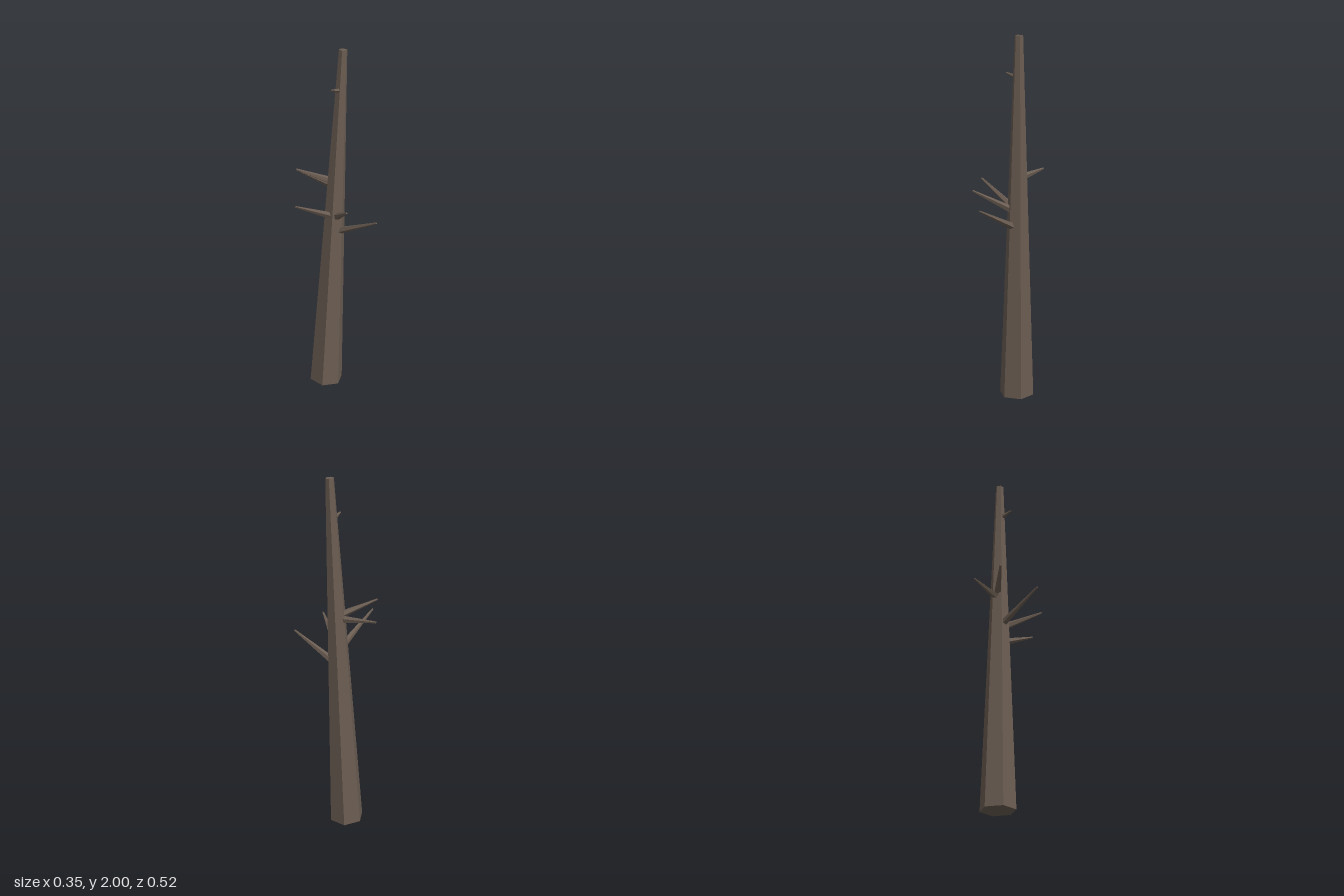
import * as THREE from 'three';

const bark = new THREE.MeshStandardMaterial({ color: 0x6b5d52, flatShading: true });
const UP = new THREE.Vector3(0, 1, 0);

// Tapered faceted rod running between two points
function taper(name, from, to, r0, r1, sides) {
  const a = new THREE.Vector3(...from);
  const b = new THREE.Vector3(...to);
  const dir = b.clone().sub(a);
  const mesh = new THREE.Mesh(new THREE.CylinderGeometry(r1, r0, dir.length(), sides), bark);
  mesh.position.copy(a).add(b).multiplyScalar(0.5);
  mesh.quaternion.setFromUnitVectors(UP, dir.normalize());
  mesh.name = name;
  return mesh;
}

export function createModel() {
  const group = new THREE.Group();
  group.name = 'deadTree';

  // Leaning six-sided trunk
  group.add(taper('trunk', [0.088, 0.003, -0.064], [0.152, 1.999, -0.007], 0.097, 0.023, 6));

  // Bare broken branches: name, root, tip, root radius, tip radius
  const branches = [
    ['leftBranch', [0.1, 1.065, -0.035], [-0.173, 1.203, -0.042], 0.021, 0.005],
    ['backLeftBranch', [0.115, 1.265, -0.052], [-0.028, 1.338, -0.181], 0.021, 0.005],
    ['backBranch', [0.12, 1.24, -0.06], [0.092, 1.265, -0.261], 0.021, 0.005],
    ['frontBranch', [0.121, 0.98, 0.002], [0.137, 1.1, 0.26], 0.021, 0.005],
    ['frontLeftBranch', [0.108, 1.065, -0.008], [-0.01, 1.18, 0.177], 0.021, 0.005],
    ['topTwig', [0.13, 1.783, -0.01], [0.062, 1.802, -0.004], 0.014, 0.004],
  ];
  for (const [name, root, tip, r0, r1] of branches) group.add(taper(name, root, tip, r0, r1, 5));

  return group;
}
